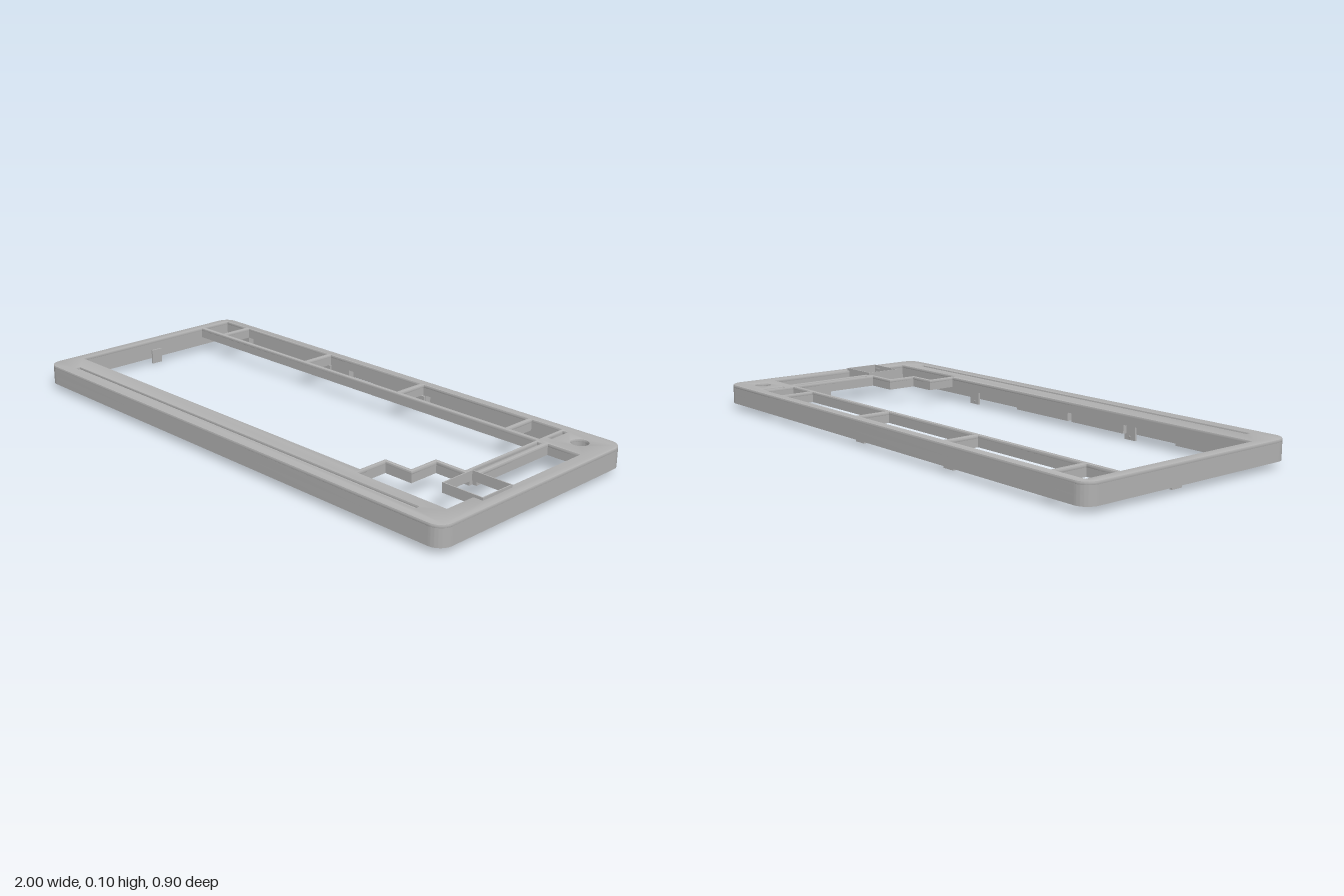
import * as THREE from 'three';
import { toCreasedNormals } from 'three/addons/utils/BufferGeometryUtils.js';

const grey = new THREE.MeshStandardMaterial({ color: 0xb0b0b0 });
grey.name = 'grey plastic';

// Outlines are drawn in plan: first number is x, second is z
const poly = (pts) => new THREE.Path(pts.map(([x, z]) => new THREE.Vector2(x, z)));
const rect = (x0, x1, z0, z1) => poly([[x0, z0], [x1, z0], [x1, z1], [x0, z1]]);

function roundedOutline(w, d, r) {
  const s = new THREE.Shape();
  s.absarc(w - r, d - r, r, 0, Math.PI / 2);
  s.absarc(-w + r, d - r, r, Math.PI / 2, Math.PI);
  s.absarc(-w + r, -d + r, r, Math.PI, Math.PI * 1.5);
  s.absarc(w - r, -d + r, r, Math.PI * 1.5, Math.PI * 2);
  return s;
}

export function createModel() {
  const group = new THREE.Group();
  const add = (name, geometry) => {
    const mesh = new THREE.Mesh(geometry, grey);
    mesh.name = name;
    group.add(mesh);
    return mesh;
  };
  const box = (name, x0, x1, y0, y1, z0, z1) => {
    const m = add(name, new THREE.BoxGeometry(x1 - x0, y1 - y0, z1 - z0));
    m.position.set((x0 + x1) / 2, (y0 + y1) / 2, (z0 + z1) / 2);
  };
  // Horizontal slab from y0 to y1 with holes cut through it
  const slab = (name, shape, holes, y0, y1, bevel = 0) => {
    shape.holes = holes;
    let g = new THREE.ExtrudeGeometry(shape, {
      depth: y1 - y0 - 2 * bevel, curveSegments: 10, bevelEnabled: bevel > 0,
      bevelThickness: bevel, bevelSize: bevel, bevelOffset: -bevel, bevelSegments: 2,
    });
    g.rotateX(Math.PI / 2);
    g.translate(0, y1 - bevel, 0);
    add(name, toCreasedNormals(g, 0.6));
  };
  const caseOutline = () => roundedOutline(1, 0.45, 0.05);

  // Openings shared by the face plate and the ribs under it
  const openings = () => {
    const main = poly([[-0.96, -0.275], [0.78, -0.275], [0.78, 0.085], [0.66, 0.085],
      [0.66, 0.2], [0.55, 0.2], [0.55, 0.315], [-0.96, 0.315]]);
    const cluster = poly([[0.826, -0.275], [0.95, -0.275], [0.95, 0.085], [0.96, 0.085],
      [0.96, 0.22], [0.925, 0.22], [0.925, 0.34], [0.565, 0.34], [0.565, 0.215],
      [0.675, 0.215], [0.675, 0.1], [0.81, 0.1], [0.81, 0.085], [0.826, 0.085]]);
    const cells = [[-0.96, -0.84], [-0.82, -0.345], [-0.325, 0.143], [0.163, 0.638], [0.655, 0.778]]
      .map(([a, b]) => rect(a, b, -0.415, -0.292));
    const slits = [[-0.405, -0.32], [-0.265, 0.065]].map(([a, b]) => rect(0.79, 0.808, a, b));
    const knob = new THREE.Path();
    knob.absarc(0.89, -0.36, 0.03, 0, Math.PI * 2);
    return [main, cluster, ...cells, ...slits, knob];
  };

  // Face plate with the long shallow groove, ribs, and outer wall
  slab('facePlate', caseOutline(), [...openings(), rect(-0.88, 0.86, 0.387, 0.405)], 0.08, 0.095, 0.004);
  slab('ribs', caseOutline(), openings(), 0.055, 0.086);

  // Wall below the ribs, recessed for ports along the back
  const inner = [[0.95, -0.415], [0.95, 0.22], [0.927, 0.22], [0.927, 0.345], [-0.96, 0.345], [-0.96, -0.415]];
  for (const x of [-0.755, -0.16, 0.24]) {
    inner.push([x - 0.065, -0.415], [x - 0.065, -0.44], [x + 0.065, -0.44], [x + 0.065, -0.415]);
  }
  slab('outerWall', caseOutline(), [poly(inner)], 0.022, 0.056);

  // Blocks under the front lip
  for (const [a, b] of [[-0.93, -0.64], [-0.4, -0.14], [-0.12, 0.16]]) {
    box('lipBlock', a, b, 0.022, 0.056, 0.32, 0.346);
  }

  // Raised thin-walled square collar
  const collar = new THREE.Shape(rect(0.807, 0.963, 0.085, 0.225).getPoints());
  slab('collar', collar, [rect(0.811, 0.959, 0.089, 0.221)], 0.07, 0.104);

  // Snap tabs hanging below the wall, with a small round catch on the front ones
  for (const x of [-0.415, 0.435]) {
    box('frontTab', x - 0.025, x + 0.025, 0, 0.056, 0.337, 0.345);
    const c = add('frontCatch', new THREE.SphereGeometry(0.009, 12, 8));
    c.position.set(x, 0.011, 0.344);
  }
  for (const x of [-0.34, 0.153]) box('backTab', x - 0.025, x + 0.025, 0, 0.056, -0.409, -0.401);
  for (const [x, z] of [[0.949, 0.283], [0.952, -0.033], [-0.957, -0.033]]) {
    box('sideTab', x - 0.004, x + 0.004, 0, 0.056, z - 0.023, z + 0.023);
  }
  const c = add('sideCatch', new THREE.SphereGeometry(0.009, 12, 8));
  c.position.set(0.952, 0.011, 0.283);

  return group;
}
